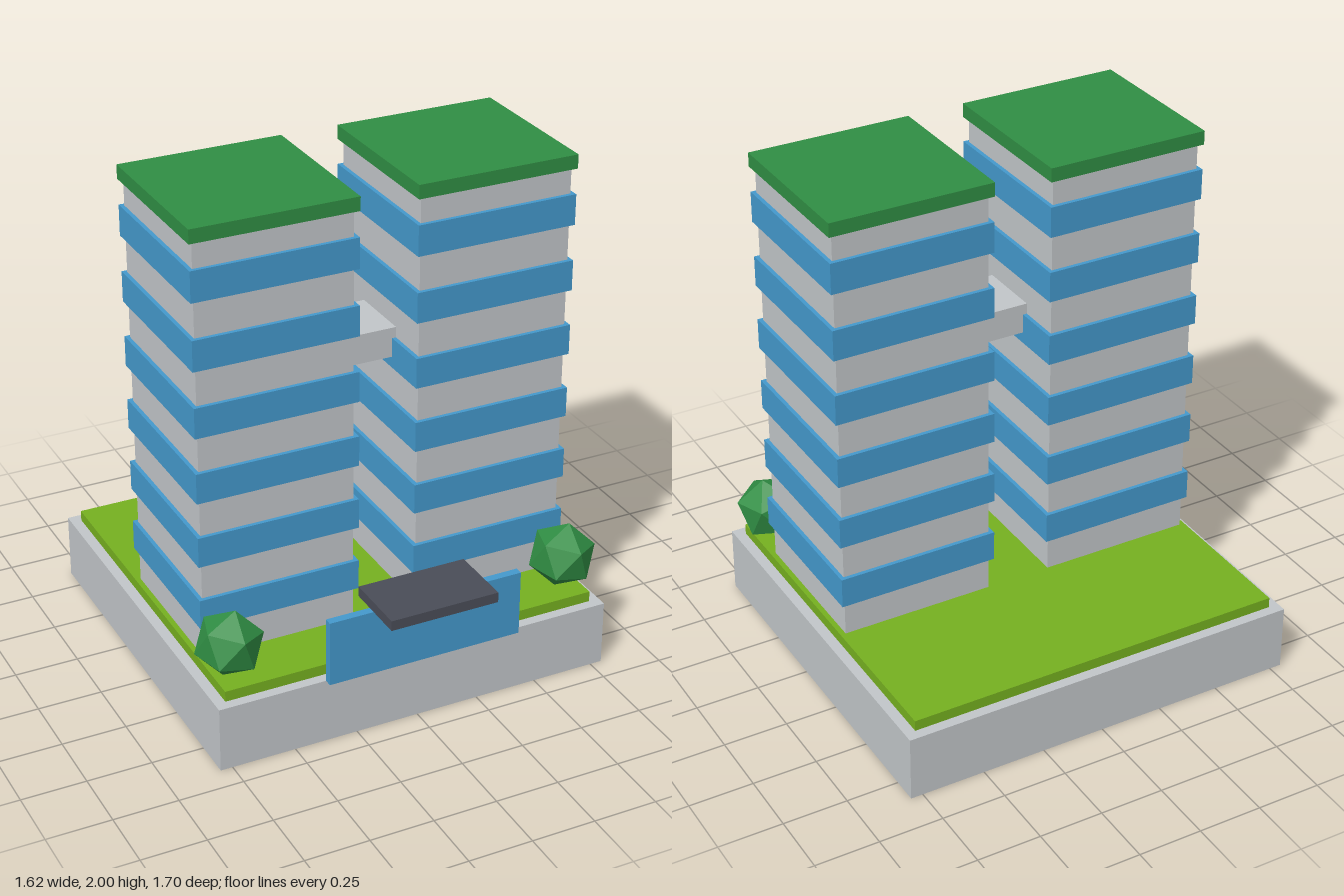
import * as THREE from 'three';

const material = (name, color, flatShading = false) => {
  const m = new THREE.MeshStandardMaterial({ color, flatShading });
  m.name = name;
  return m;
};

export function createModel() {
  const concrete = material('concrete', 0xc2c6c9);
  const glass = material('blue glass', 0x4499cc);
  const green = material('dark green', 0x308e44, true);
  const grass = material('grass', 0x76b020);
  const slate = material('slate', 0x4a4d58);

  const model = new THREE.Group();
  model.name = 'twinTowers';

  // Box given by width, bottom and top, back and front, centred on x
  const box = (parent, name, mat, width, y0, y1, z0, z1, x = 0) => {
    const mesh = new THREE.Mesh(new THREE.BoxGeometry(width, y1 - y0, z1 - z0), mat);
    mesh.position.set(x, (y0 + y1) / 2, (z0 + z1) / 2);
    mesh.name = name;
    parent.add(mesh);
    return mesh;
  };

  // Ground
  box(model, 'base', concrete, 1.594, 0, 0.26, -0.851, 0.654);
  box(model, 'lawn', grass, 1.51, 0.26, 0.302, -0.811, 0.614);

  // Towers with overhanging window bands and green roofs
  for (const side of [-1, 1]) {
    const tower = new THREE.Group();
    tower.name = side > 0 ? 'leftTower' : 'rightTower';
    tower.position.x = side * 0.432;
    model.add(tower);
    box(tower, 'shaft', concrete, 0.605, 0.3, 1.946, -0.2275, 0.3775);
    for (let i = 0; i < 6; i++) {
      const y = 0.435 + i * 0.2587;
      box(tower, 'windowBand', glass, 0.636, y, y + 0.119, -0.243, 0.393);
    }
    box(tower, 'greenRoof', green, 0.638, 1.946, 2, -0.244, 0.394);
  }

  // Bridge between the towers
  box(model, 'skyBridge', concrete, 0.28, 1.255, 1.372, -0.054, 0.203);

  // Entrance
  box(model, 'entranceGlass', glass, 0.778, 0.28, 0.54, 0.68, 0.712);
  box(model, 'entranceCanopy', slate, 0.43, 0.54, 0.58, 0.592, 0.85);

  // Round trees: an icosahedron stood on a corner, then tilted a little
  const treeGeometry = new THREE.IcosahedronGeometry(0.131, 0)
    .rotateZ(Math.atan(2 / (1 + Math.sqrt(5))))
    .rotateY(Math.PI / 2)
    .rotateZ(-0.21);
  for (const side of [-1, 1]) {
    const tree = new THREE.Mesh(treeGeometry, green);
    tree.name = side > 0 ? 'leftTree' : 'rightTree';
    tree.position.set(side * 0.69, 0.428, 0.508);
    model.add(tree);
  }

  return model;
}
